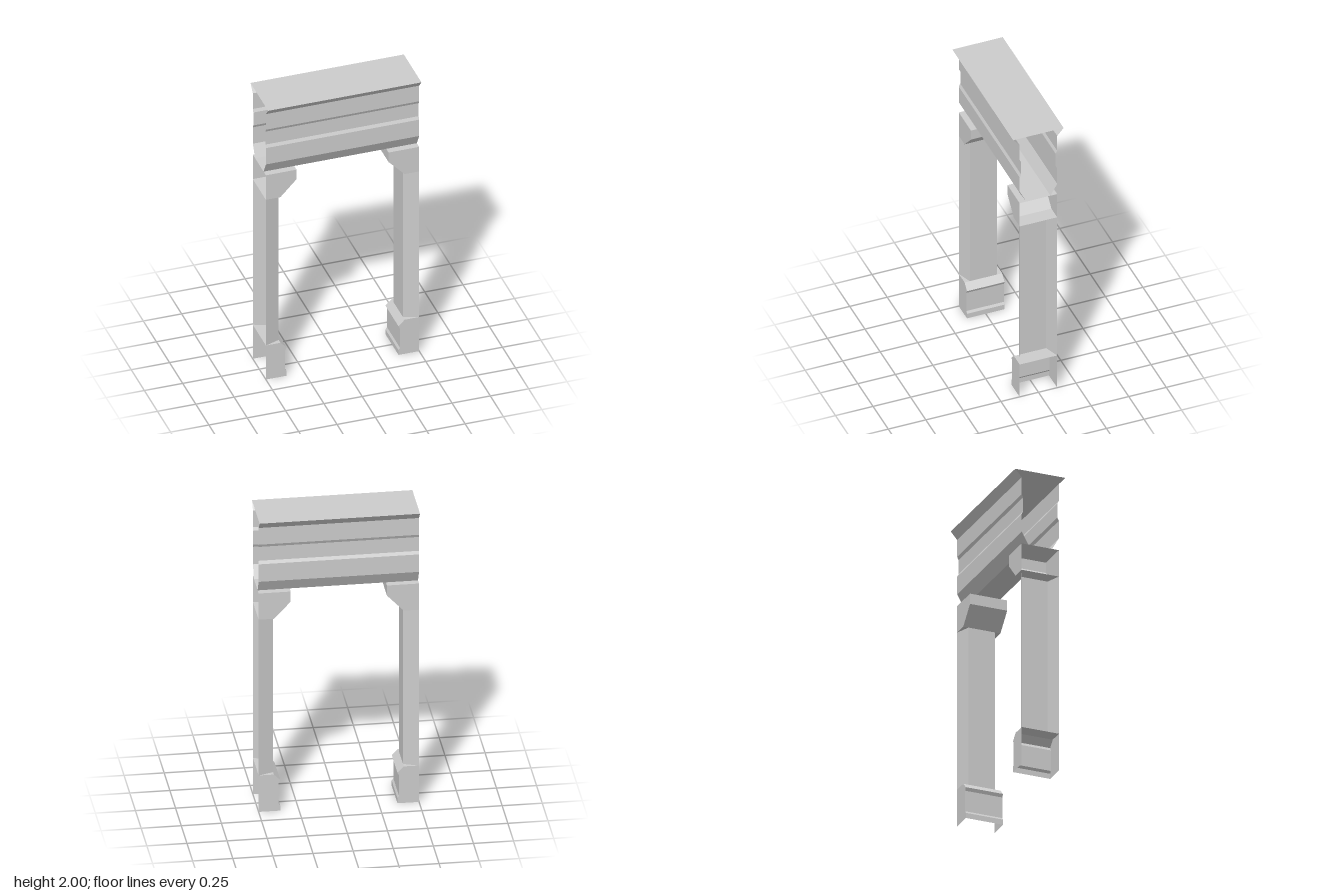
import * as THREE from 'three';

const material = new THREE.MeshStandardMaterial({
  color: 0xcccccc, flatShading: true, side: THREE.DoubleSide,
});
const HALF_DEPTH = 0.125;

// Sweeps a counterclockwise xy outline along z into an open-ended sheet.
function sweep(points, length) {
  const h = length / 2;
  const pos = [];
  for (let i = 0; i < points.length - 1; i++) {
    const [px, py] = points[i];
    const [qx, qy] = points[i + 1];
    pos.push(px, py, -h, qx, qy, -h, qx, qy, h);
    pos.push(px, py, -h, qx, qy, h, px, py, h);
  }
  const geo = new THREE.BufferGeometry();
  geo.setAttribute('position', new THREE.Float32BufferAttribute(pos, 3));
  geo.computeVertexNormals();
  return geo;
}

// Flat side plate; the back one has its faces turned to -z.
function plate(points, z) {
  const geo = new THREE.ShapeGeometry(new THREE.Shape(points.map(([x, y]) => new THREE.Vector2(x, y))));
  geo.translate(0, 0, z);
  if (z < 0) {
    geo.index.array.reverse();
    geo.computeVertexNormals();
  }
  return geo;
}

function part(name, geo) {
  const mesh = new THREE.Mesh(geo, material);
  mesh.name = name;
  return mesh;
}

// Hollow block: swept outline plus front and back plates, open on the outer side.
function block(name, outline, extraCorners = []) {
  const group = new THREE.Group();
  group.name = name;
  const full = [...outline, ...extraCorners];
  group.add(
    part(name + 'Wall', sweep(outline, 2 * HALF_DEPTH)),
    part(name + 'FrontPlate', plate(full, HALF_DEPTH)),
    part(name + 'BackPlate', plate(full, -HALF_DEPTH)),
  );
  return group;
}

function createPillar(name) {
  const pillar = new THREE.Group();
  pillar.name = name;

  // Moulded foot, open underneath
  pillar.add(block('base', [
    [0.5, 0.25], [0.405, 0.25], [0.365, 0.21], [0.375, 0.19],
    [0.375, 0.05], [0.365, 0.035], [0.365, 0],
  ], [[0.5, 0]]));

  // Tapered three-sided shaft
  const shaft = sweep([[0.5, 0.125], [0.405, 0.09], [0.405, -0.09], [0.5, -0.125]], 1.07);
  shaft.rotateX(-Math.PI / 2);
  shaft.translate(0, 0.25 + 1.07 / 2, 0);
  pillar.add(part('shaft', shaft));

  // Bracket under the beam
  pillar.add(block('bracket', [
    [0.5, 1.5], [0.3, 1.5], [0.3, 1.43], [0.405, 1.32], [0.5, 1.32],
  ]));
  return pillar;
}

export function createModel() {
  const model = new THREE.Group();
  model.name = 'doorway';

  const leftPillar = createPillar('leftPillar');
  const rightPillar = createPillar('rightPillar');
  rightPillar.rotation.y = Math.PI;
  model.add(leftPillar, rightPillar);

  // Moulded beam with a flared cornice, open at both ends
  const side = [
    [0.08, 1.5], [0.125, 1.58], [0.125, 1.7], [0.115, 1.72],
    [0.115, 1.815], [0.125, 1.835], [0.125, 1.95], [0.168, 2],
  ];
  const mirrored = side.map(([z, y]) => [-z, y]).reverse();
  const beam = sweep([...side, ...mirrored, side[0]], 1);
  beam.rotateY(Math.PI / 2);
  model.add(part('beam', beam));

  return model;
}
